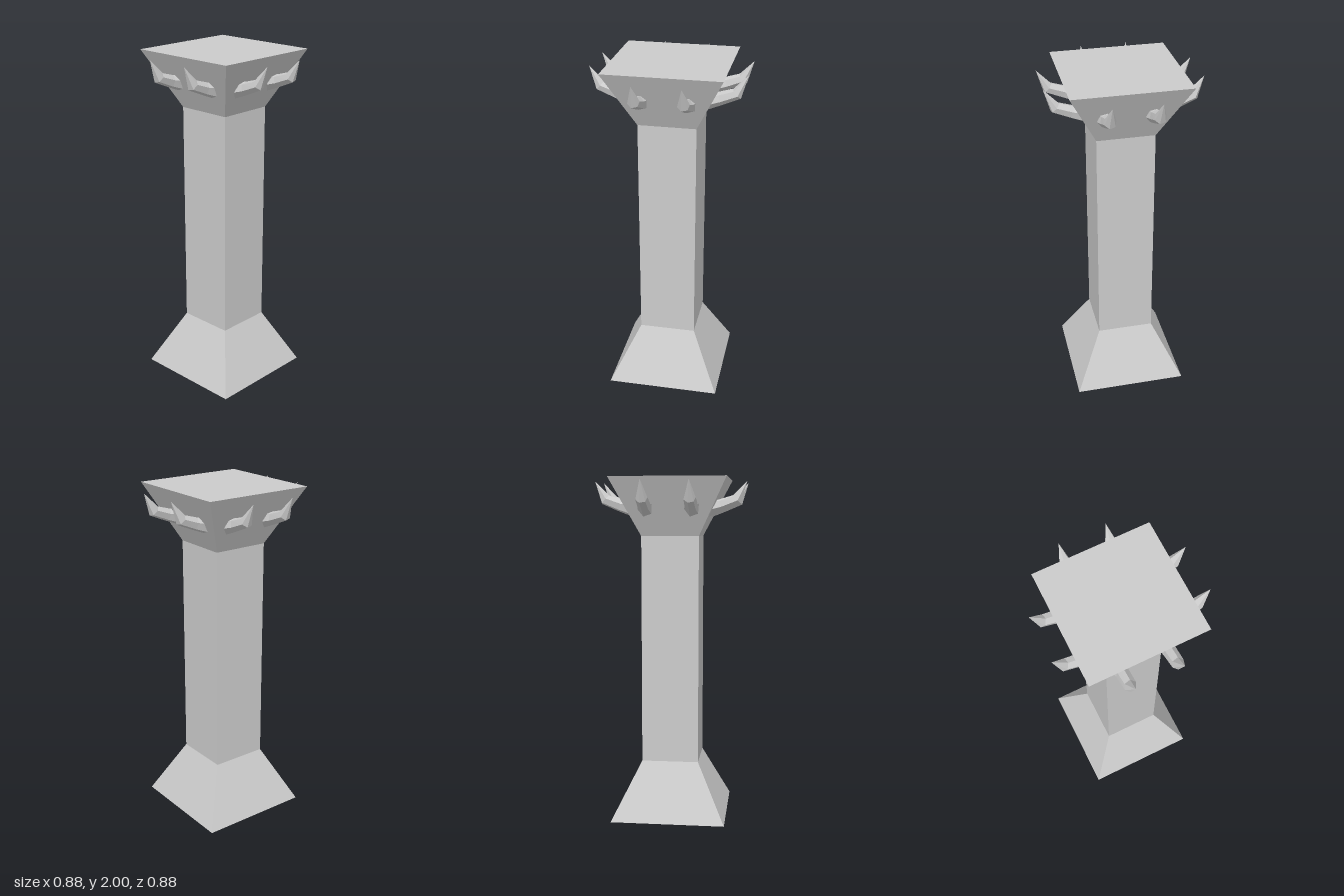
import * as THREE from 'three';

const material = new THREE.MeshStandardMaterial({
  color: 0xcccccc, flatShading: true, side: THREE.DoubleSide,
});

// Square column, open underneath: a four-sided lathe of half widths and heights
function createColumn() {
  const profile = [[0.333, 0], [0.167, 0.333], [0.167, 1.667], [0.333, 2], [0, 2]]
    .map(([half, y]) => new THREE.Vector2(half * Math.SQRT2, y));
  const column = new THREE.Mesh(new THREE.LatheGeometry(profile, 4, Math.PI / 4), material);
  column.name = 'column';
  return column;
}

// Curved horn pointing to +z: rings from the tip to the root, with y, z, radius and pitch
const hornRings = [
  { y: 1.98, z: 0.44, r: 0, pitch: 1.1 },
  { y: 1.875, z: 0.38, r: 0.034, pitch: 0.75 },
  { y: 1.842, z: 0.29, r: 0.037, pitch: 0.32 },
  { y: 1.822, z: 0.2, r: 0.052, pitch: 0.2 },
];

function createHornGeometry() {
  const geometry = new THREE.CylinderGeometry(
    1, 1, 1, 6, hornRings.length - 1, true, -Math.PI / 12);
  const pos = geometry.attributes.position;
  for (let i = 0; i < pos.count; i++) {
    const ring = hornRings[Math.floor(i / 7)];
    const side = pos.getX(i) * ring.r;
    const out = pos.getZ(i) * ring.r;
    pos.setXYZ(i, side,
      ring.y - out * Math.cos(ring.pitch),
      ring.z + out * Math.sin(ring.pitch));
  }
  geometry.computeVertexNormals();
  return geometry;
}

export function createModel() {
  const model = new THREE.Group();
  model.name = 'hornedPillar';
  model.add(createColumn());

  // Two horns on each side of the capital
  const hornGeometry = createHornGeometry();
  const sides = ['front', 'left', 'back', 'right'];
  sides.forEach((sideName, k) => {
    const pair = new THREE.Group();
    pair.name = sideName + 'Horns';
    for (const x of [-0.133, 0.133]) {
      const horn = new THREE.Mesh(hornGeometry, material);
      horn.name = 'horn';
      horn.position.x = x;
      pair.add(horn);
    }
    pair.rotation.y = k * Math.PI / 2;
    model.add(pair);
  });
  return model;
}
